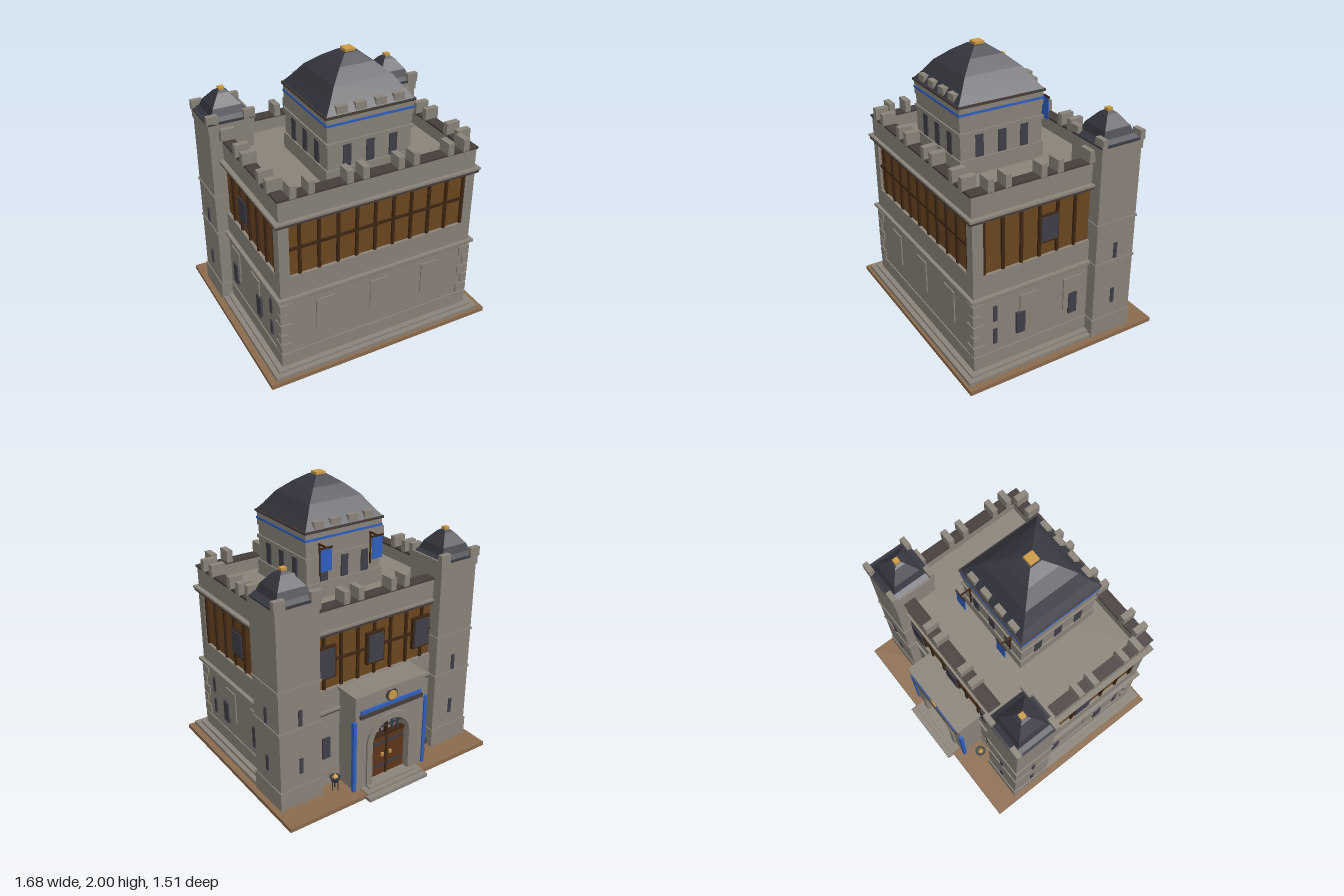
import * as THREE from 'three';

const mat = (name, color) => {
  const m = new THREE.MeshStandardMaterial({ color });
  m.name = name;
  return m;
};

export function createModel() {
  const stone = mat('stone', 0x8a8379), earth = mat('earth', 0x8a6a4c), slate = mat('slate', 0x3a3a44);
  const trim = mat('dark trim', 0x463d3a), panel = mat('timber panel', 0x6b471f), beam = mat('beam', 0x3e2614);
  const blue = mat('blue cloth', 0x2f5fc0), gold = mat('gold', 0xcb9a45);
  const glass = mat('dark window', 0x403e48), wood = mat('door wood', 0x5e3519);
  const root = new THREE.Group();

  const add = (name, geo, m, x = 0, y = 0, z = 0) => {
    const mesh = new THREE.Mesh(geo, m);
    mesh.name = name;
    mesh.position.set(x, y, z);
    root.add(mesh);
    return mesh;
  };
  // box given by its extents on each axis
  const box = (name, m, x0, x1, y0, y1, z0, z1) =>
    add(name, new THREE.BoxGeometry(x1 - x0, y1 - y0, z1 - z0), m, (x0 + x1) / 2, (y0 + y1) / 2, (z0 + z1) / 2);
  // the same box on both the left and the right
  const pair = (name, m, x0, x1, ...r) => {
    box(name, m, x0, x1, ...r);
    box(name, m, -x1, -x0, ...r);
  };
  // four-sided roof from [half width, height] levels
  const roof = (name, levels, x, z) => {
    const pts = levels.map(([h, y]) => new THREE.Vector2(h * Math.SQRT2, y));
    const g = new THREE.LatheGeometry(pts, 4, Math.PI / 4).toNonIndexed();
    g.computeVertexNormals();
    add(name, g, slate, x, 0, z);
  };

  // ground and plinth
  box('ground', earth, -0.84, 0.84, 0, 0.03, -0.71, 0.755);
  box('plinth', stone, -0.795, 0.795, 0.03, 0.055, -0.47, 0.735);
  box('plinthStep', stone, -0.76, 0.76, 0.055, 0.07, -0.47, 0.7);

  // main block
  box('lowerWall', stone, -0.715, 0.715, 0.07, 0.77, -0.46, 0.655);
  box('baseCourse', stone, -0.723, 0.723, 0.07, 0.17, -0.465, 0.663);
  box('stringCourse', stone, -0.743, 0.743, 0.6, 0.62, -0.475, 0.68);
  box('stringCourseShadow', trim, -0.73, 0.73, 0.588, 0.6, -0.47, 0.668);
  box('timberWall', panel, -0.695, 0.695, 0.76, 1.18, -0.44, 0.635);
  pair('cornerPost', stone, 0.645, 0.715, 0.76, 1.18, 0.58, 0.655);
  box('upperTrim', trim, -0.735, 0.735, 1.155, 1.175, -0.47, 0.675);
  box('upperLedge', stone, -0.743, 0.743, 1.175, 1.19, -0.475, 0.68);
  box('roofFloor', stone, -0.71, 0.71, 1.17, 1.24, -0.46, 0.655);

  // parapet with dark coping
  for (const [n, m, y0, y1, o] of [['parapet', stone, 1.2, 1.33, 0], ['coping', trim, 1.33, 1.345, 0.008]]) {
    pair(n, m, 0.645 - o, 0.71 + o, y0, y1, -0.46, 0.655 + o);
    box(n, m, -0.645, 0.645, y0, y1, 0.585 - o, 0.655 + o);
    box(n, m, -0.645, 0.645, y0, y1, -0.46 - o, -0.39 + o);
  }
  for (const x of [0.125, 0.235, 0.495, 0.615]) pair('frontMerlon', stone, x - 0.022, x + 0.022, 1.34, 1.425, 0.575, 0.672);
  for (const x of [0.13, 0.24]) pair('backMerlon', stone, x - 0.022, x + 0.022, 1.34, 1.425, -0.473, -0.372);
  for (const z of [-0.2, 0.04, 0.16, 0.41, 0.53]) pair('sideMerlon', stone, 0.63, 0.73, 1.34, 1.425, z - 0.021, z + 0.021);

  // timber framing
  for (let i = 0; i < 10; i++) {
    const x = -0.57 + i * 0.134;
    box('frontStud', beam, x - 0.01, x + 0.01, 0.765, 1.16, 0.63, 0.65);
  }
  for (let i = 0; i < 7; i++) {
    const z = 0.57 - i * 0.134, x = -0.402 + i * 0.134;
    pair('sideStud', beam, 0.69, 0.71, 0.765, 1.16, z - 0.01, z + 0.01);
    box('backStud', beam, x - 0.01, x + 0.01, 0.765, 1.16, -0.455, -0.43);
  }
  box('frontRail', beam, -0.645, 0.645, 0.957, 0.975, 0.63, 0.648);
  box('backRail', beam, -0.48, 0.48, 0.957, 0.975, -0.453, -0.43);
  pair('sideSill', beam, 0.69, 0.715, 0.862, 0.878, 0.03, 0.17);
  pair('sideWindowFrame', beam, 0.69, 0.717, 0.87, 1.06, 0.03, 0.175);
  pair('sideWindow', glass, 0.7, 0.725, 0.88, 1.05, 0.04, 0.165);
  for (const x of [-0.39, 0, 0.39]) {
    box('backWindowFrame', beam, x - 0.072, x + 0.072, 0.85, 1.08, -0.465, -0.44);
    box('backWindow', glass, x - 0.06, x + 0.06, 0.865, 1.065, -0.474, -0.45);
  }

  // stone panels, openings and quoins on the lower walls
  for (const x of [-0.4, 0, 0.4]) box('frontPanel', stone, x - 0.068, x + 0.068, 0.29, 0.53, 0.65, 0.664);
  for (const z of [0.25, -0.09]) pair('sidePanel', stone, 0.71, 0.724, 0.29, 0.53, z - 0.068, z + 0.068);
  for (const z of [0.315, -0.095]) pair('lowerWindow', glass, 0.71, 0.732, 0.25, 0.41, z - 0.032, z + 0.032);
  for (const y of [0.23, 0.405]) pair('wallSlit', glass, 0.71, 0.722, y, y + 0.115, 0.487, 0.517);
  pair('backLowerWindow', glass, 0.37, 0.43, 0.25, 0.41, -0.472, -0.45);
  for (let i = 0; i < 5; i++) {
    const w = i % 2 ? 0.05 : 0.085, y = 0.18 + i * 0.08;
    pair('quoin', stone, 0.725 - w, 0.725, y, y + 0.07, 0.665 - w, 0.665);
  }

  // two rear corner towers
  pair('tower', stone, 0.485, 0.795, 0.03, 1.46, -0.53, -0.22);
  for (const [y0, y1] of [[0.03, 0.17], [0.6, 0.615], [0.9, 0.915], [1.395, 1.46]])
    pair('towerBand', stone, 0.478, 0.802, y0, y1, -0.537, -0.213);
  pair('towerDeck', slate, 0.475, 0.805, 1.455, 1.468, -0.54, -0.21);
  for (const x of [0.47, 0.73]) for (const z of [-0.542, -0.247])
    pair('towerMerlon', stone, x, x + 0.08, 1.455, 1.52, z, z + 0.037);
  pair('towerSideSill', stone, 0.472, 0.486, 1.45, 1.475, -0.54, -0.21);
  for (const y of [0.27, 0.63]) {
    pair('towerSlit', glass, 0.79, 0.803, y, y + 0.115, -0.388, -0.362);
    pair('towerBackSlit', glass, 0.627, 0.653, y, y + 0.115, -0.538, -0.525);
  }
  for (const s of [-1, 1]) {
    roof('towerRoof', [[0.155, 1.465], [0.12, 1.49], [0.1, 1.54], [0.04, 1.615], [0.02, 1.63], [0, 1.632]], s * 0.64, -0.375);
    box('towerFinial', gold, s * 0.64 - 0.019, s * 0.64 + 0.019, 1.625, 1.648, -0.394, -0.356);
  }

  // central keep
  const kz = 0.195;
  const keepRing = (n, m, h, y0, y1) => box(n, m, -h, h, y0, y1, kz - h, kz + h);
  keepRing('keepBase', stone, 0.31, 1.23, 1.35);
  keepRing('keepWall', stone, 0.3, 1.34, 1.7);
  keepRing('keepCourse', stone, 0.31, 1.51, 1.535);
  keepRing('keepUpperCourse', stone, 0.306, 1.605, 1.7);
  keepRing('keepStripe', blue, 0.31, 1.648, 1.664);
  keepRing('keepEaves', trim, 0.316, 1.7, 1.716);
  roof('keepRoof', [[0.31, 1.714], [0.265, 1.77], [0.205, 1.855], [0.12, 1.93], [0.045, 1.982], [0, 1.984]], 0, kz);
  keepRing('keepFinial', gold, 0.035, 1.978, 2);
  for (const x of [0.07, 0.2]) for (const z of [kz - 0.305, kz + 0.265])
    pair('keepMerlon', stone, x - 0.038, x + 0.038, 1.716, 1.768, z, z + 0.04);
  for (const d of [-0.165, 0, 0.165]) {
    for (const z of [kz - 0.307, kz + 0.295]) box('keepWindow', glass, d - 0.028, d + 0.028, 1.355, 1.51, z, z + 0.012);
    pair('keepSideWindow', glass, 0.295, 0.307, 1.355, 1.51, kz + d - 0.028, kz + d + 0.028);
  }

  // banners on the back of the keep
  pair('bannerPole', beam, 0.2, 0.21, 1.615, 1.625, -0.2, -0.1);
  pair('bannerBracket', beam, 0.2, 0.21, 1.4, 1.625, -0.124, -0.116);
  pair('bannerBar', beam, 0.155, 0.255, 1.612, 1.624, -0.198, -0.19);
  pair('banner', blue, 0.163, 0.247, 1.46, 1.614, -0.197, -0.191);

  // gatehouse with arched doorway
  const w = 0.155, spring = 0.36;
  const gate = new THREE.Shape();
  gate.moveTo(-0.29, 0.03).lineTo(-w, 0.03).lineTo(-w, spring);
  gate.absarc(0, spring, w, Math.PI, 0, true);
  gate.lineTo(w, 0.03).lineTo(0.29, 0.03).lineTo(0.29, 0.75).lineTo(-0.29, 0.75);
  const extrude = (s, depth) => new THREE.ExtrudeGeometry(s, { depth, bevelEnabled: false, curveSegments: 16 });
  add('gatehouse', extrude(gate, 0.18), stone, 0, 0, -0.64);
  const arch = new THREE.Shape();
  arch.moveTo(-0.2, 0.05).lineTo(-w, 0.05).lineTo(-w, spring);
  arch.absarc(0, spring, w, Math.PI, 0, true);
  arch.lineTo(w, 0.05).lineTo(0.2, 0.05).lineTo(0.2, spring);
  arch.absarc(0, spring, 0.2, 0, Math.PI, false);
  add('archTrim', extrude(arch, 0.02), stone, 0, 0, -0.655);
  box('gateCornice', stone, -0.3, 0.3, 0.74, 0.765, -0.655, -0.45);
  box('gateStripe', blue, -0.25, 0.25, 0.625, 0.65, -0.652, -0.635);
  box('gateLintel', trim, -0.26, 0.26, 0.595, 0.622, -0.66, -0.635);
  pair('gatePilaster', blue, 0.285, 0.31, 0.04, 0.58, -0.65, -0.625);
  for (const [n, m, r, z] of [['medallionRim', trim, 0.045, -0.645], ['medallion', gold, 0.034, -0.652]])
    add(n, new THREE.CylinderGeometry(r, r, 0.014, 16).rotateX(Math.PI / 2), m, 0, 0.695, z);

  // double door and grille
  pair('door', wood, 0.004, w, 0.05, 0.37, -0.6, -0.57);
  box('doorSplit', beam, -0.008, 0.008, 0.05, 0.5, -0.607, -0.58);
  for (const y of [0.12, 0.3]) pair('doorStrap', slate, 0.01, 0.15, y, y + 0.018, -0.606, -0.595);
  pair('doorKnob', gold, 0.025, 0.043, 0.2, 0.225, -0.612, -0.595);
  box('doorTransom', beam, -w, w, 0.36, 0.38, -0.607, -0.57);
  for (const x of [0.05, 0.1]) pair('grilleBar', slate, x - 0.006, x + 0.006, 0.37, spring + Math.sqrt(w * w - x * x), -0.6, -0.59);
  box('grilleCrossBar', slate, -0.13, 0.13, 0.43, 0.44, -0.6, -0.59);

  // entrance steps
  box('lowerStep', stone, -0.25, 0.25, 0, 0.025, -0.76, -0.6);
  box('middleStep', stone, -0.24, 0.24, 0.02, 0.04, -0.72, -0.6);
  box('upperStep', stone, -0.2, 0.2, 0.035, 0.052, -0.685, -0.5);

  // braziers either side of the gate
  for (const s of [-1, 1]) {
    const x = s * 0.38, z = -0.54;
    add('brazierBowl', new THREE.CylinderGeometry(0.04, 0.024, 0.035, 12), slate, x, 0.117, z);
    add('brazierCoals', new THREE.ConeGeometry(0.022, 0.03, 8), gold, x, 0.148, z);
    for (let i = 0; i < 3; i++) {
      const a = i * Math.PI * 2 / 3;
      add('brazierLeg', new THREE.CylinderGeometry(0.004, 0.004, 0.075, 6), slate, x + 0.022 * Math.cos(a), 0.065, z + 0.022 * Math.sin(a));
    }
  }
  return root;
}
